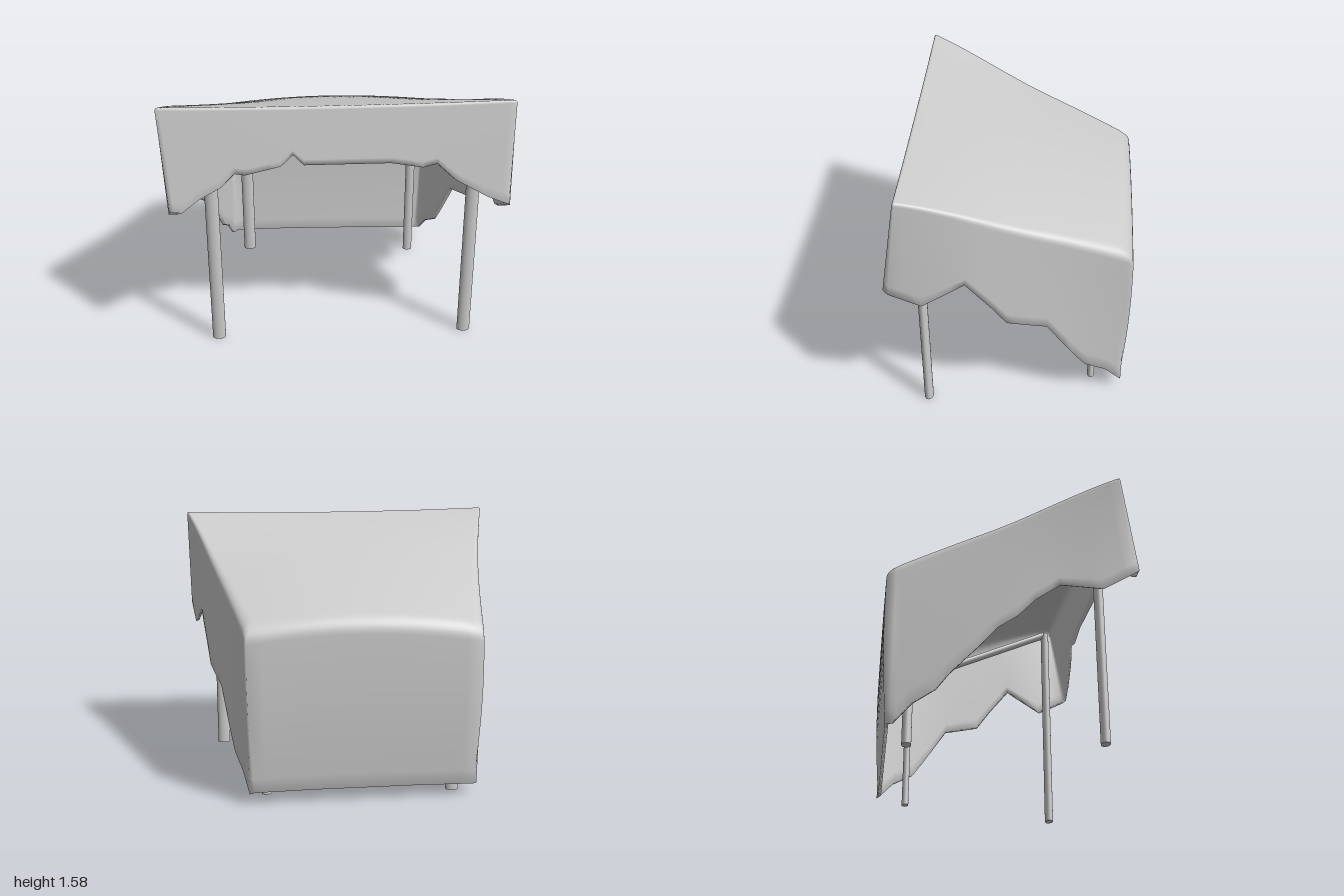
import * as THREE from 'three';

const { lerp, smoothstep } = THREE.MathUtils;
const V = (x, y, z) => new THREE.Vector3(x, y, z);
const grey = () => new THREE.MeshStandardMaterial({ color: 0xcccccc, side: THREE.DoubleSide });

// Height of the sloping roof, crowned along the middle towards the back
function roofY(x, z) {
  const across = x / (0.84 + 0.23 * z);
  const crown = 0.055 * (1 - smoothstep(z, -0.15, 0.6)) * across * across;
  return 1.37 + 0.36 * z - 0.06 * z * z + 0.012 * x * x * Math.max(z, 0) / 0.62 - crown;
}

// Ragged hems: front and back as [x, y], sides as [z, y] from front to back
const frontHem = [[-0.95, 0.985], [-0.88, 0.98], [-0.78, 1.055], [-0.66, 1.12], [-0.58, 1.2], [-0.52, 1.19],
  [-0.32, 1.235], [-0.25, 1.3], [-0.19, 1.24], [0.05, 1.24], [0.3, 1.24], [0.48, 1.21], [0.56, 1.23],
  [0.67, 1.13], [0.85, 1.03], [0.975, 0.98]];
const leftHem = [[0.69, 0.96], [0.51, 0.86], [0.27, 0.99], [0.13, 0.81], [0.04, 0.68], [-0.19, 0.61],
  [-0.35, 0.36], [-0.42, 0.26], [-0.55, 0.18], [-0.65, 0.07]];
const rightHem = [[0.69, 0.96], [0.51, 0.86], [0.27, 0.89], [0.13, 0.8], [0.03, 0.7], [-0.08, 0.63],
  [-0.18, 0.52], [-0.35, 0.35], [-0.42, 0.26], [-0.55, 0.18], [-0.65, 0.07]];
const backHem = [[0.65, 0.075], [0.3, 0.08], [0, 0.08], [-0.3, 0.08], [-0.65, 0.075]];

// Split every segment of a hem into n steps
function subdivide(points, n) {
  const out = [];
  for (let i = 0; i < points.length - 1; i++) {
    for (let k = 0; k < n; k++) {
      out.push([lerp(points[i][0], points[i + 1][0], k / n), lerp(points[i][1], points[i + 1][1], k / n)]);
    }
  }
  out.push(points[points.length - 1]);
  return out;
}

// Each column holds its roof edge, its hem, the edge rounding outside and inside, and the wall's bulge
function column(x, z, hem, round, innerRound, bulge) {
  return { top: V(x, roofY(x, z), z), hem, round, innerRound, bulge };
}

function frontColumn([x, y]) {
  return column(x / (x < 0 ? 0.952 : 0.977), 0.62, V(x, y, 0.62 + (1.57 - y) * 0.166), 0.02, 0.06, 0);
}

function sideColumn([z, y], side) {
  const t = (z + 0.68) / 1.38;
  const bow = Math.sin(Math.PI * t);
  const topX = lerp(0.69, 1, t) - (side > 0 ? 0.01 : 0.025) * bow;
  const hemX = side > 0 ? 0.67 + 0.32 * t + 0.04 * bow : 0.67 + 0.29 * t + 0.01 * bow;
  const top = [side * topX, lerp(-0.68, 0.62, t)];
  return column(...top, V(side * hemX, y, z), lerp(0.06, 0.02, t), lerp(0.16, 0.06, t), 0);
}

function backColumn([x, y]) {
  const z = -0.69 + 0.025 * x;
  return column(x * 1.05, z, V(x, y, z + 0.03), 0.08, 0.28, 0.015);
}

// Points up one face of a column, from the hem over the rounded edge to the middle of the roof
function facePath({ top, hem, bulge }, round, depth) {
  const wallRows = 10, bendRows = 8, roofRows = 12;
  const inward = V(-top.x, 0, -top.z).normalize();
  inward.divideScalar(Math.max(Math.abs(inward.x), Math.abs(inward.z)));
  const edge = top.clone().addScaledVector(inward, depth);
  edge.y = roofY(edge.x, edge.z) - depth;
  const foot = hem.clone().addScaledVector(inward, depth * 0.8);
  foot.y += depth * 0.4;
  const shoulder = edge.clone().addScaledVector(inward, round);
  shoulder.y = roofY(shoulder.x, shoulder.z) - depth;
  const reach = Math.min(round / edge.distanceTo(foot), 0.6);
  const path = [];
  for (let k = 0; k < wallRows; k++) path.push(foot.clone().lerp(edge, (1 - reach) * k / wallRows));
  const bend = new THREE.QuadraticBezierCurve3(edge.clone().lerp(foot, reach), edge, shoulder);
  path.push(...bend.getPoints(bendRows));
  path.forEach((p) => {
    const height = (p.y - foot.y) / (edge.y - foot.y);
    p.addScaledVector(inward, -bulge * Math.sin(Math.PI * THREE.MathUtils.clamp(height, 0, 1)));
  });
  for (let k = 1; k <= roofRows; k++) {
    const s = 1 - k / roofRows;
    path.push(V(shoulder.x * s, roofY(shoulder.x * s, shoulder.z * s) - depth, shoulder.z * s));
  }
  return path;
}

// Closed cloth shell: the lining runs down to the hem, the outside back up
function createCover() {
  const columns = [
    ...subdivide(frontHem, 3).map(frontColumn),
    ...subdivide(leftHem, 3).map((p) => sideColumn(p, 1)),
    ...subdivide(backHem, 4).map(backColumn),
    ...subdivide(rightHem, 3).map((p) => sideColumn(p, -1)).reverse(),
  ];
  const paths = columns.map((c) => [...facePath(c, c.innerRound, 0.025).reverse(), ...facePath(c, c.round, 0)]);
  const positions = paths.flat().flatMap((p) => p.toArray());
  const index = [];
  const n = paths.length, rows = paths[0].length;
  for (let i = 0; i < n; i++) {
    for (let j = 0; j < rows - 1; j++) {
      const a = i * rows + j, b = ((i + 1) % n) * rows + j;
      if (j > 0) index.push(a, b, a + 1);
      if (j < rows - 2) index.push(b, b + 1, a + 1);
    }
  }
  const geometry = new THREE.BufferGeometry();
  geometry.setAttribute('position', new THREE.Float32BufferAttribute(positions, 3));
  geometry.setIndex(index);
  geometry.computeVertexNormals();
  const cover = new THREE.Mesh(geometry, grey());
  cover.name = 'clothCover';
  return cover;
}

// Straight pole with an oval section, wider across than deep
function pole(name, from, to, width, depth) {
  const length = from.distanceTo(to);
  const mesh = new THREE.Mesh(new THREE.CylinderGeometry(0.5, 0.5, length, 24), grey());
  mesh.scale.set(width, 1, depth);
  mesh.position.copy(from).lerp(to, 0.5);
  mesh.quaternion.setFromUnitVectors(V(0, 1, 0), to.clone().sub(from).normalize());
  mesh.name = name;
  return mesh;
}

export function createModel() {
  const model = new THREE.Group();
  model.name = 'tarpShelter';
  model.add(createCover());

  // Two frames: front pole, shorter back pole and a sloping rail between them
  const frames = [
    { side: 'left', frontX: 0.8, backX: 0.57, backZ: -0.47, width: 0.06, depth: 0.043 },
    { side: 'right', frontX: -0.725, backX: -0.55, backZ: -0.55, width: 0.08, depth: 0.055 },
  ];
  for (const f of frames) {
    const frame = new THREE.Group();
    frame.name = f.side + 'Frame';
    const frontTop = V(f.frontX, 1.42, 0.53), backTop = V(f.backX, 0.88, f.backZ);
    frame.add(
      pole('frontPole', V(f.frontX, 0, 0.53), frontTop, 0.08, 0.054),
      pole('backPole', V(f.backX, 0, f.backZ), backTop, f.width, f.depth),
      pole('rail', backTop, frontTop, f.width, f.depth),
    );
    model.add(frame);
  }
  return model;
}
